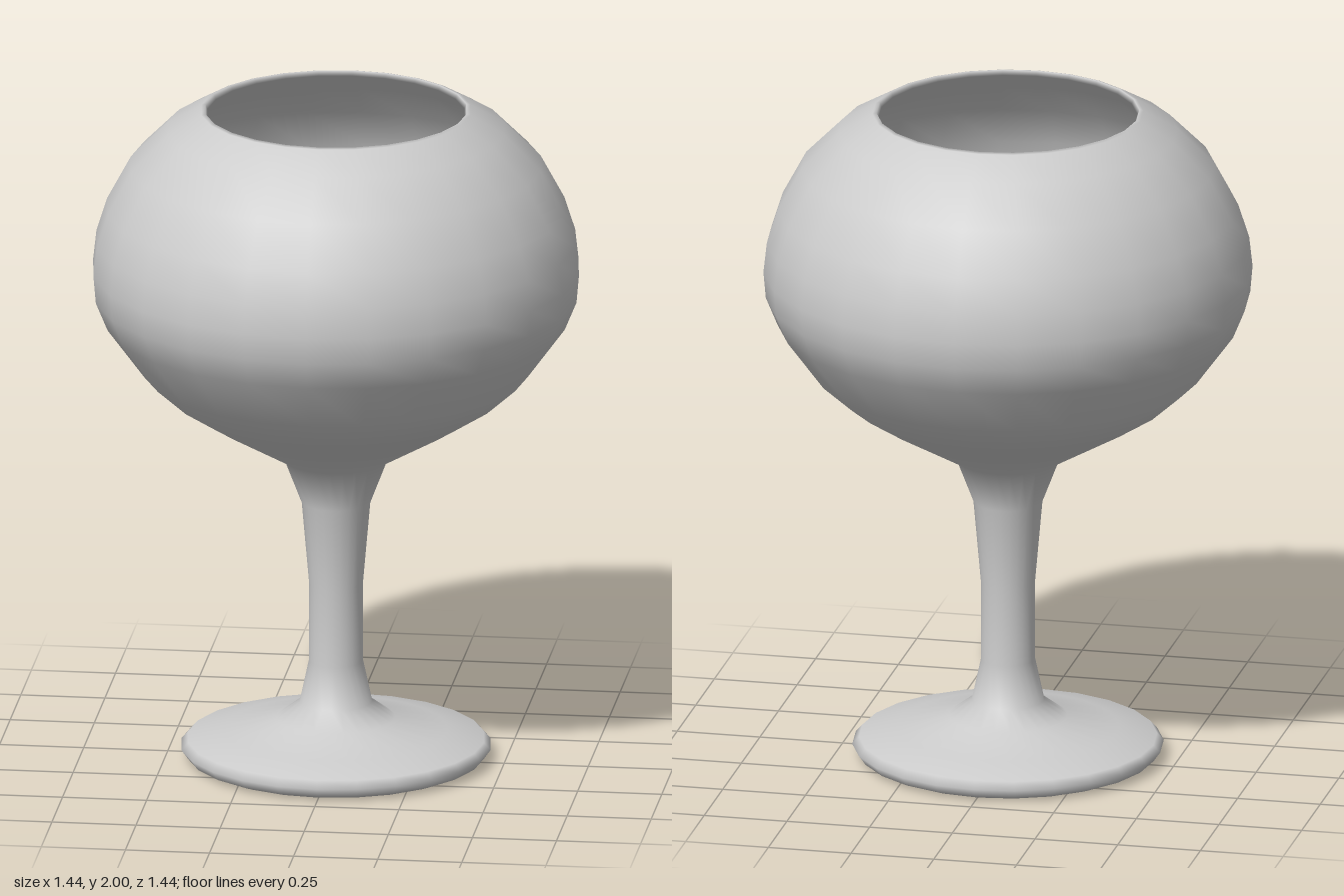
import * as THREE from 'three';

const SIDES = 24;

// Each profile lists [radius, height]
const footProfile = [
  [0, 0.085], [0.2, 0.07], [0.33, 0.045], [0.385, 0.012], [0.41, 0.0],
  [0.44, 0.012], [0.46, 0.04], [0.44, 0.062], [0.33, 0.088], [0.175, 0.125],
];
const stemProfile = [
  [0.107, 0.175], [0.08, 0.3], [0.08, 0.54], [0.102, 0.79],
];
const bowlProfile = [
  [0.152, 0.92], [0.37, 1.045], [0.48, 1.115], [0.57, 1.195], [0.68, 1.345],
  [0.715, 1.43], [0.722, 1.51], [0.712, 1.6], [0.68, 1.7], [0.61, 1.83],
  [0.5, 1.94], [0.4, 1.997],
];
// Thin lip, then the inside wall down to the bottom of the cup
const insideProfile = [
  [0.388, 2.0], [0.382, 1.985], [0.48, 1.92], [0.585, 1.81], [0.65, 1.69],
  [0.69, 1.51], [0.65, 1.36], [0.55, 1.22], [0.36, 1.08], [0.16, 0.99], [0, 0.96],
];

export function createModel() {
  const model = new THREE.Group();
  model.name = 'goblet';

  // Foot, stem and bowl flow into each other as one continuous turned shell
  const profile = [...footProfile, ...stemProfile, ...bowlProfile, ...insideProfile]
    .map(([r, y]) => new THREE.Vector2(r, y));
  const glass = new THREE.Mesh(
    new THREE.LatheGeometry(profile, SIDES),
    new THREE.MeshStandardMaterial({ color: 0xcccccc }),
  );
  glass.name = 'footStemAndBowl';
  model.add(glass);
  return model;
}
